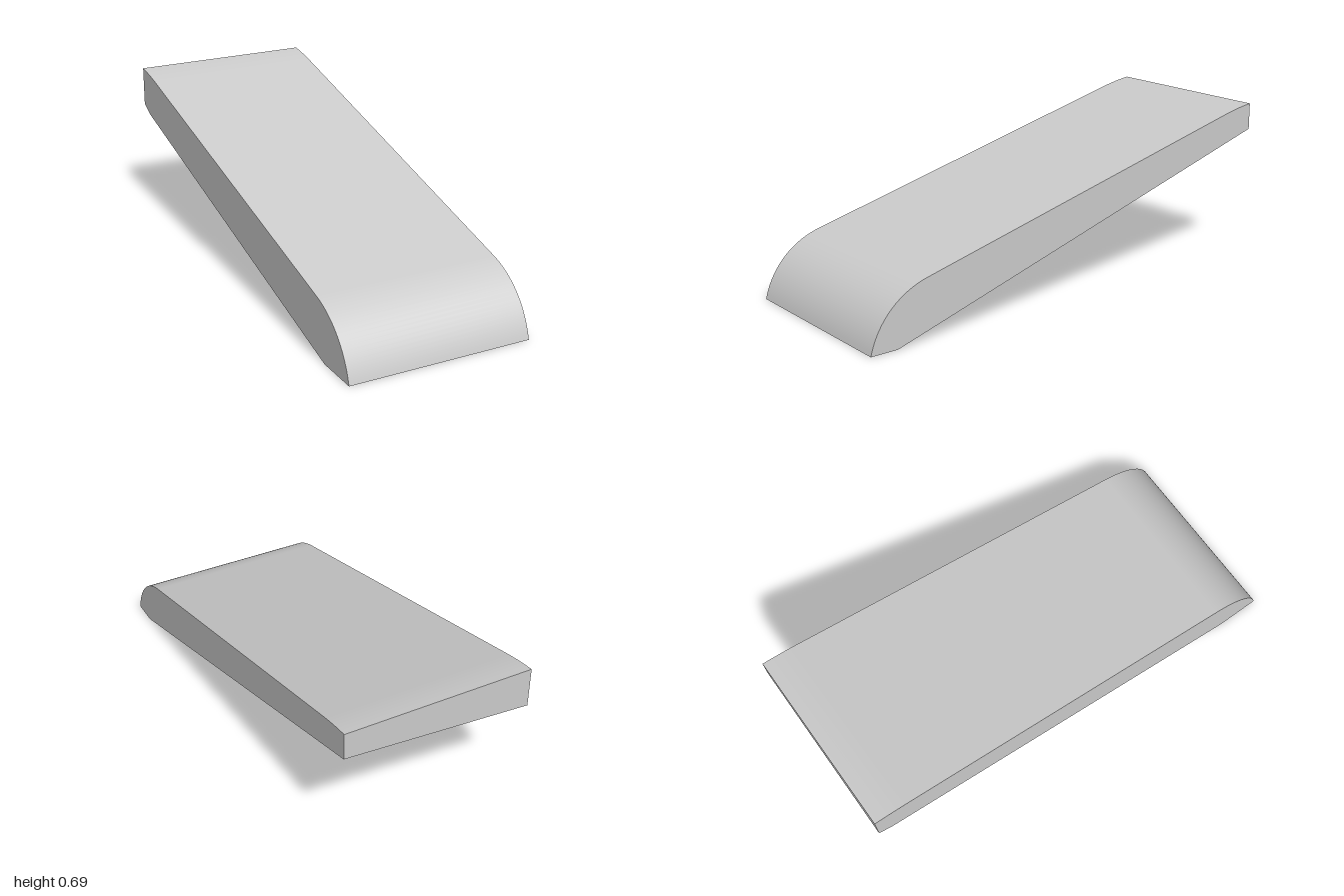
import * as THREE from 'three';

const W = 0.398; // half width
const v2 = (z, y) => new THREE.Vector2(z, y);

// Upper side profile as (z, y), from the raised back end to the rounded nose
function topProfile() {
  const path = new THREE.CurvePath();
  const tail = new THREE.QuadraticBezierCurve(v2(-1, 0.69), v2(-0.92, 0.68), v2(-0.84, 0.659));
  const nose = new THREE.CubicBezierCurve(v2(0.74, 0.256), v2(0.88, 0.22), v2(0.97, 0.12), v2(1, 0));
  path.add(tail);
  path.add(nose);
  return [...tail.getPoints(6), ...nose.getPoints(20)];
}

// Flat-shaded geometry from convex polygons with outward-facing corner order
function facets(polygons) {
  const pos = [];
  for (const p of polygons)
    for (let i = 1; i < p.length - 1; i++) pos.push(...p[0], ...p[i], ...p[i + 1]);
  const geo = new THREE.BufferGeometry();
  geo.setAttribute('position', new THREE.Float32BufferAttribute(pos, 3));
  geo.computeVertexNormals();
  return geo;
}

export function createModel() {
  const group = new THREE.Group();
  group.name = 'slopedWedge';
  const material = new THREE.MeshStandardMaterial({ color: 0xcccccc });
  const add = (name, geo) => {
    const mesh = new THREE.Mesh(geo, material);
    mesh.name = name;
    group.add(mesh);
    return mesh;
  };
  const profile = topProfile();

  // Sloped top and rounded nose: a sheet bent along the profile
  const deck = new THREE.PlaneGeometry(2 * W, 1, 1, profile.length - 1);
  const pos = deck.attributes.position;
  for (let i = 0; i < pos.count; i++) {
    const p = profile[Math.floor(i / 2)];
    pos.setXYZ(i, pos.getX(i), p.y, p.x);
  }
  deck.computeVertexNormals();
  add('topDeck', deck);

  // Lower edges differ between the two sides, which twists the underside
  const leftLower = [v2(0.88, 0), v2(-1, 0.575)];
  const rightLower = [v2(0.81, 0), v2(-0.94, 0.485), v2(-1, 0.518)];

  // Side walls
  for (const [name, side, lower] of [['leftWall', 1, leftLower], ['rightWall', -1, rightLower]]) {
    const outline = [...profile, ...lower].map((p) => v2(-side * p.x, p.y));
    const wall = add(name, new THREE.ShapeGeometry(new THREE.Shape(outline)));
    wall.rotation.y = side * Math.PI / 2;
    wall.position.x = side * W;
  }

  // Corners of the underside and back
  const at = (side, p) => [side * W, p.y, p.x];
  const [a, b] = leftLower.map((p) => at(1, p));
  const [d, c, e] = rightLower.map((p) => at(-1, p));
  const noseL = [W, 0, 1], noseR = [-W, 0, 1];
  const backL = [W, 0.69, -1], backR = [-W, 0.69, -1];

  add('foot', facets([[noseL, noseR, d, a]]));
  add('underside', facets([[a, c, b], [a, d, c], [b, c, e]]));
  add('backFace', facets([[backL, b, e, backR]]));
  return group;
}
